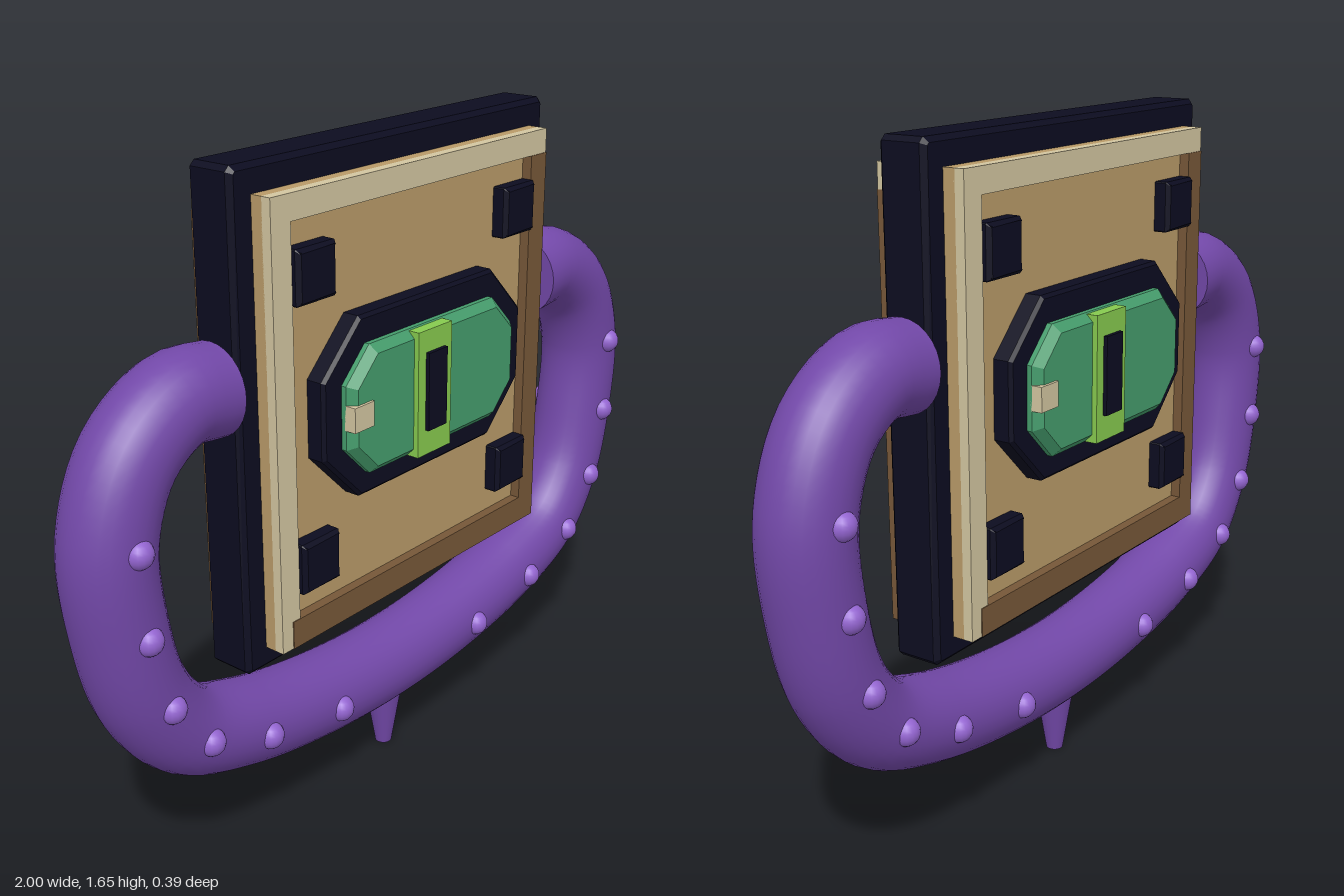
import * as THREE from 'three';

const mat = (name, color) => {
  const m = new THREE.MeshStandardMaterial({ color });
  m.name = name;
  return m;
};

export function createModel() {
  const navy = mat('dark navy', 0x0c0c20);
  const tan = mat('tan', 0xb89a68);
  const cream = mat('cream', 0xd2c5a0);
  const brown = mat('brown', 0x765738);
  const green = mat('green', 0x459c6c);
  const lime = mat('lime', 0x86c94e);
  const purple = mat('purple', 0x7248a8);
  const violet = mat('light violet', 0x9364d0);

  const model = new THREE.Group();
  const add = (parent, name, geometry, material, x = 0, y = 0, z = 0) => {
    const mesh = new THREE.Mesh(geometry, material);
    mesh.name = name;
    mesh.position.set(x, y, z);
    parent.add(mesh);
    return mesh;
  };

  // Box given by its bounds
  const block = (parent, name, material, x0, x1, y0, y1, z0, z1) =>
    add(parent, name, new THREE.BoxGeometry(x1 - x0, y1 - y0, z1 - z0), material,
      (x0 + x1) / 2, (y0 + y1) / 2, (z0 + z1) / 2);

  // Plate with cut corners and bevelled rims, given by its bounds
  const plate = (parent, name, material, x0, x1, y0, y1, z0, z1, cut, bevel) => {
    const shape = new THREE.Shape([
      [x0 + cut, y0], [x1 - cut, y0], [x1, y0 + cut], [x1, y1 - cut],
      [x1 - cut, y1], [x0 + cut, y1], [x0, y1 - cut], [x0, y0 + cut],
    ].map(([x, y]) => new THREE.Vector2(x, y)));
    const geometry = new THREE.ExtrudeGeometry(shape, {
      depth: z1 - z0 - 2 * bevel, bevelThickness: bevel, bevelSize: bevel,
      bevelOffset: -bevel, bevelSegments: 1,
    });
    return add(parent, name, geometry, material, 0, 0, z0 + bevel);
  };

  // Core slab and the panel that runs through it
  plate(model, 'slab', navy, -0.56, 0.56, 0.475, 1.655, -0.062, 0.062, 0.012, 0.012);
  block(model, 'panel', tan, -0.5, 0.5, 0.53, 1.59, -0.092, 0.092);

  // The same face on front and back
  for (const side of ['front', 'back']) {
    const face = new THREE.Group();
    face.name = side + 'Face';
    face.rotation.y = side === 'front' ? 0 : Math.PI;
    model.add(face);

    // Raised frame bars
    block(face, 'topBar', cream, -0.5, 0.5, 1.53, 1.59, 0.09, 0.116);
    block(face, 'leftBar', cream, -0.5, -0.44, 0.53, 1.53, 0.09, 0.116);
    block(face, 'rightBar', brown, 0.435, 0.5, 0.53, 1.53, 0.09, 0.118);
    block(face, 'bottomBar', brown, -0.465, 0.435, 0.53, 0.6, 0.09, 0.118);

    // Corner studs
    for (const x of [-0.375, 0.375])
      for (const y of [0.723, 1.408])
        plate(face, 'cornerStud', navy, x - 0.063, x + 0.063, y - 0.063, y + 0.063, 0.07, 0.133, 0.003, 0.01);

    // Eye: socket, lens, lime pupil frame, pupil and glint
    plate(face, 'socket', navy, -0.375, 0.375, 0.848, 1.285, 0.07, 0.14, 0.125, 0.008);
    plate(face, 'lens', green, -0.315, 0.313, 0.907, 1.22, 0.1, 0.173, 0.08, 0.02);
    block(face, 'pupilFrame', lime, -0.097, 0.028, 0.907, 1.217, 0.12, 0.186);
    block(face, 'pupil', navy, -0.069, 0, 0.97, 1.163, 0.18, 0.196);
    block(face, 'glint', cream, -0.315, -0.248, 1.035, 1.095, 0.15, 0.18);
  }

  // Curved handle
  const half = [
    [0.578, 1.174], [0.69, 1.178], [0.82, 1.093], [0.888, 0.93], [0.877, 0.725],
    [0.825, 0.535], [0.717, 0.397], [0.53, 0.32], [0.28, 0.272],
  ];
  const path = new THREE.CatmullRomCurve3([
    ...half.map(([x, y]) => new THREE.Vector3(-x, y, 0)),
    new THREE.Vector3(0, 0.254, 0),
    ...half.slice().reverse().map(([x, y]) => new THREE.Vector3(x, y, 0)),
  ]);
  const radius = 0.107;
  add(model, 'handle', new THREE.TubeGeometry(path, 120, radius, 28, false), purple);
  for (const t of [0, 1]) {
    const p = path.getPointAt(t);
    const out = path.getTangentAt(t).multiplyScalar(t ? 1 : -1);
    const cap = add(model, 'handleEnd', new THREE.CircleGeometry(radius, 28), purple, p.x, p.y, 0);
    cap.lookAt(p.clone().add(out));
  }

  // Round nubs along both sides of the handle
  const nub = new THREE.SphereGeometry(0.033, 16, 12);
  for (const [x, y] of half.slice(3))
    for (const sx of [-1, 1])
      for (const sz of [-1, 1]) add(model, 'nub', nub, violet, sx * x, y, sz * 0.096);

  // Spike under the handle
  add(model, 'spike', new THREE.CylinderGeometry(0.055, 0.022, 0.2, 20), purple, 0, 0.1, 0);

  return model;
}
